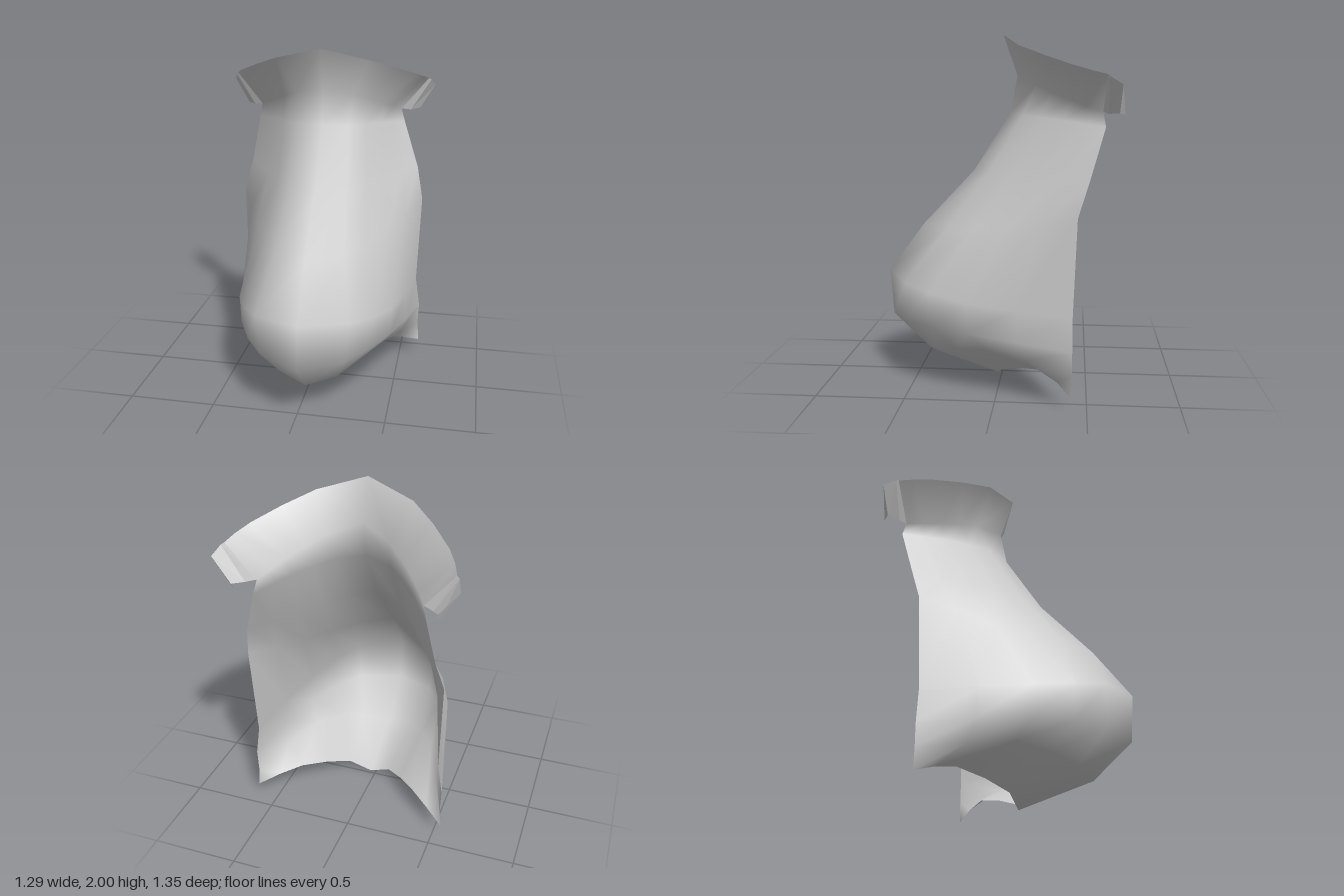
import * as THREE from 'three';

const CENTRE = 0.033;

// Each row, top to bottom: height and depth of the middle ridge, then flank, side and back edge points
const ROWS = [
  [2, -0.01, [0.27, 1.93, -0.11], [0.53, 1.82, -0.4], [0.605, 1.77, -0.58]],
  [1.77, -0.09, [0.17, 1.72, -0.205], [0.34, 1.64, -0.39], [0.445, 1.58, -0.565]],
  [1.56, -0.05, [0.16, 1.55, -0.13], [0.335, 1.53, -0.36], [0.465, 1.5, -0.58]],
  [1.23, 0.16, [0.17, 1.23, 0.06], [0.36, 1.22, -0.22], [0.53, 1.23, -0.5]],
  [0.91, 0.46, [0.2, 0.92, 0.29], [0.39, 0.95, -0.05], [0.57, 1.04, -0.44]],
  [0.63, 0.67, [0.26, 0.61, 0.53], [0.455, 0.55, 0.16], [0.553, 0.51, -0.42]],
  [0.36, 0.65, [0.24, 0.38, 0.53], [0.45, 0.38, 0.15], [0.58, 0.33, -0.42]],
  [0.15, 0.43, [0.17, 0.19, 0.36], [0.385, 0.27, 0.06], [0.575, 0.2, -0.42]],
  [0.005, 0.02, [0.13, 0.07, -0.01], [0.36, 0.155, -0.25], [0.585, 0.08, -0.42]],
];

// Point on one side; the collar and neck grow symmetrical towards the back edge (k = 6)
const place = (s, rowNumber, k, [x, y, z]) =>
  [CENTRE * (rowNumber < 3 ? 1 - k / 6 : 1) + s * x, y, z];

// Smooth half cross-section from the middle ridge to the back edge
function halfSection([y, z, ...points], rowNumber, s) {
  const controls = [[0, y, z], ...points].map((p) => new THREE.Vector3(...p));
  const curve = new THREE.CatmullRomCurve3(controls, false, 'catmullrom');
  return [0, 2, 3, 4, 5, 6].map((k) => place(s, rowNumber, k, curve.getPoint(k / 6).toArray()));
}

// Sheet through equal-length rows of points
function sheet(rows) {
  const n = rows[0].length;
  const index = [];
  for (let i = 0; i < rows.length - 1; i++) {
    for (let j = 0; j < n - 1; j++) {
      const a = i * n + j;
      const c = a + n;
      index.push(a, c, a + 1, a + 1, c, c + 1);
    }
  }
  const geo = new THREE.BufferGeometry();
  geo.setAttribute('position', new THREE.Float32BufferAttribute(rows.flat(2), 3));
  geo.setIndex(index);
  geo.computeVertexNormals();
  return geo;
}

export function createModel() {
  const group = new THREE.Group();
  const grey = new THREE.MeshStandardMaterial({ color: 0xcccccc, side: THREE.DoubleSide });
  grey.name = 'light grey';
  const add = (name, geo) => {
    const mesh = new THREE.Mesh(geo, grey);
    mesh.name = name;
    group.add(mesh);
  };

  // Curved front shell with flared collar and bulging base, open at the back
  add('frontShell', sheet(ROWS.map((row, i) =>
    [...halfSection(row, i, -1).slice(1).reverse(), ...halfSection(row, i, 1)])));

  // Flat-faced folded tabs, starting from the collar's back edges
  for (const s of [-1, 1]) {
    const edge = (i) => place(s, i, 6, ROWS[i][4]);
    const tip = [s * 0.643, 1.72, -0.655];
    const top = [edge(0), [s * 0.62, 1.76, -0.59], tip, tip];
    const bottom = [edge(1), [s * 0.5, 1.57, -0.59], [s * 0.555, 1.575, -0.645], [s * 0.515, 1.565, -0.675]];
    const rows = s > 0 ? [top, bottom] : [top.reverse(), bottom.reverse()];
    const geo = sheet(rows).toNonIndexed();
    geo.computeVertexNormals();
    add(s > 0 ? 'leftCollarTab' : 'rightCollarTab', geo);
  }
  return group;
}
